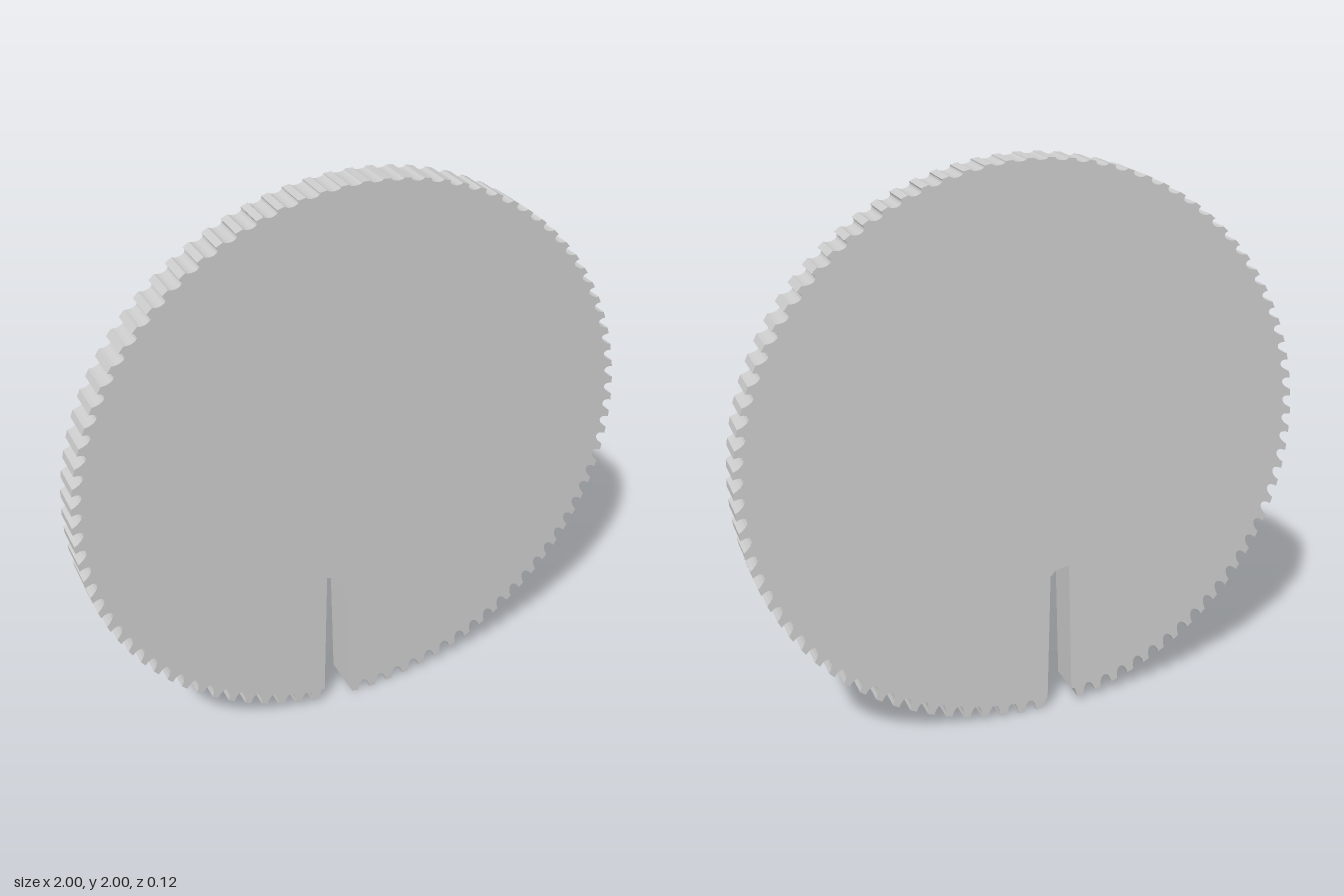
import * as THREE from 'three';

const THICKNESS = 0.125;
const GAPS = 87;           // notches between the teeth
const FIRST = -0.03;       // angles are measured from the bottom of the disc
const LAST = Math.PI * 2 - 0.195;
const LAND = 0.36;         // share of the pitch taken by a tooth's tip

const polar = (a, r) => new THREE.Vector2(Math.sin(a) * r, 1 - Math.cos(a) * r);

// Rounded notch, deep at the bottom of the disc and shallow at the top, leaning upwards at the sides
function notch(start, end) {
  const middle = (start + end) / 2;
  const side = Math.sin(middle);
  const depth = 0.007 + 0.038 * Math.cos(Math.min(middle, Math.PI * 2 - middle) / 2);
  const points = [];
  for (let j = 0; j <= 8; j++) {
    const s = (j / 8) * Math.PI;
    const t = 0.5 - Math.cos(s) / 2 + 0.35 * side * Math.sin(s);
    points.push(polar(start + (end - start) * t, 1 - depth * Math.sin(s)));
  }
  return points;
}

function discOutline() {
  const pitch = (LAST - FIRST) / GAPS;
  const half = (pitch * LAND) / 2;
  const points = [new THREE.Vector2(-0.062, 0.045), polar(FIRST - half, 0.995)];
  for (let i = 0; i < GAPS; i++) {
    const a = FIRST + i * pitch;
    points.push(...notch(a + half, a + pitch - half));
  }
  // Last tooth, then up and around the tapered slot
  points.push(polar(LAST + half, 0.995));
  const slot = [[-0.17, 0.058], [-0.156, 0.06], [-0.14, 0.568], [-0.09, 0.556], [-0.07, 0.535]];
  slot.forEach(([x, y]) => points.push(new THREE.Vector2(x, y)));
  return points;
}

export function createModel() {
  const group = new THREE.Group();
  group.name = 'toothedDisc';

  // Flat disc with a toothed rim and one deep slot
  const geometry = new THREE.ExtrudeGeometry(new THREE.Shape(discOutline()), {
    depth: THICKNESS, bevelEnabled: false, steps: 1,
  });
  geometry.translate(0, 0, -THICKNESS / 2);
  const disc = new THREE.Mesh(geometry, new THREE.MeshStandardMaterial({ color: 0xcccccc, flatShading: true }));
  disc.name = 'slottedDisc';
  group.add(disc);
  return group;
}
